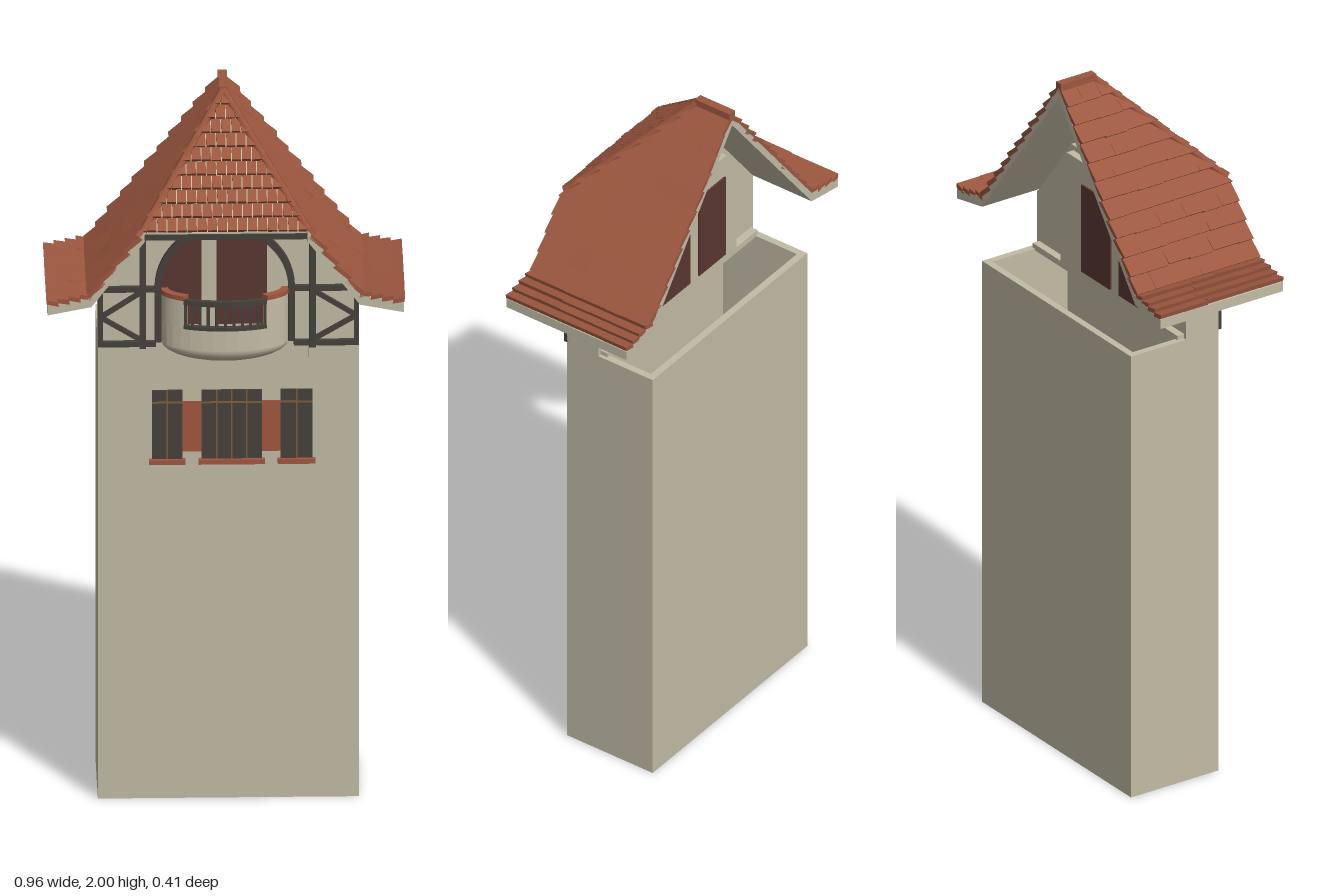
import * as THREE from 'three';
import { mergeGeometries } from 'three/addons/utils/BufferGeometryUtils.js';
import { ConvexGeometry } from 'three/addons/geometries/ConvexGeometry.js';

const paint = (name, color) => {
  const m = new THREE.MeshStandardMaterial({ color });
  m.name = name;
  return m;
};

export function createModel() {
  const plaster = paint('plaster', 0xc2bba5);
  const tile = paint('roofTile', 0x9c573f);
  const timber = paint('darkTimber', 0x45413a);
  const door = paint('maroonDoor', 0x5a3731);
  const brick = paint('brickRed', 0xa0563e);
  const glazingBar = paint('glazingBar', 0x7a5e3c);

  const model = new THREE.Group();
  model.name = 'towerHouse';
  const V = (x, y, z) => new THREE.Vector3(x, y, z);
  let seed = 7;
  const rand = () => (seed = (seed * 16807) % 2147483647) / 2147483647;

  const add = (name, geo, mat) => {
    const mesh = new THREE.Mesh(geo, mat);
    mesh.name = name;
    model.add(mesh);
    return mesh;
  };
  // Box given by its limits
  const box = (name, mat, x0, x1, y0, y1, z0, z1) =>
    add(name, new THREE.BoxGeometry(x1 - x0, y1 - y0, z1 - z0), mat)
      .position.set((x0 + x1) / 2, (y0 + y1) / 2, (z0 + z1) / 2);
  // Outline in x,y extruded from z0 to z1
  const shapeOf = pts => new THREE.Shape(pts.map(p => new THREE.Vector2(...p)));
  const upright = (name, mat, shape, z0, z1) =>
    add(name, new THREE.ExtrudeGeometry(shape, { depth: z1 - z0, bevelEnabled: false, curveSegments: 24 }), mat)
      .position.z = z0;
  // Plan outline in x,-z extruded from y0 to y1
  const plan = (name, mat, shape, y0, y1) => {
    const g = new THREE.ExtrudeGeometry(shape, { depth: y1 - y0, bevelEnabled: false });
    add(name, g.rotateX(-Math.PI / 2), mat).position.y = y0;
  };
  // Beam between two points on the facade
  const beam = (name, mat, x0, y0, x1, y1, w, z0, z1) => {
    const m = add(name, new THREE.BoxGeometry(Math.hypot(x1 - x0, y1 - y0), w, z1 - z0), mat);
    m.position.set((x0 + x1) / 2, (y0 + y1) / 2, (z0 + z1) / 2);
    m.rotation.z = Math.atan2(y1 - y0, x1 - x0);
  };

  // Hollow tower shaft
  const shaft = shapeOf([[-0.34, -0.085], [0.36, -0.085], [0.36, 0.2], [-0.34, 0.2]]);
  shaft.holes.push(new THREE.Path([[-0.32, -0.065], [-0.32, 0.18], [0.34, 0.18], [0.34, -0.065]]
    .map(p => new THREE.Vector2(...p))));
  plan('towerShaft', plaster, shaft, 0, 1.32);

  // Upper storey: arched front wall, back wall, side walls and floor
  const gable = () => shapeOf([[-0.34, 1.32], [0.36, 1.32], [0.36, 1.475], [0.2, 1.685], [-0.2, 1.685], [-0.34, 1.5]]);
  const archPath = (p, r, y0) => {
    p.moveTo(-r, y0).lineTo(r, y0).lineTo(r, 1.49);
    p.absarc(0, 1.49, r, 0, Math.PI, false);
    return p.lineTo(-r, y0);
  };
  const front = gable();
  front.holes.push(archPath(new THREE.Path(), 0.17, 1.335));
  upright('archedFrontWall', plaster, front, 0.065, 0.085);
  upright('loggiaBackWall', plaster, gable(), -0.02, -0.005);
  upright('raisedBackPanel', plaster, shapeOf([[-0.235, 1.33], [0.22, 1.33], [0.22, 1.64], [0.19, 1.67],
    [-0.19, 1.67], [-0.235, 1.62]]), -0.042, -0.02);
  box('leftSideWall', plaster, 0.34, 0.36, 1.32, 1.48, -0.02, 0.085);
  box('rightSideWall', plaster, -0.34, -0.32, 1.32, 1.5, -0.02, 0.085);
  box('loggiaFloor', plaster, -0.33, 0.35, 1.315, 1.333, -0.042, 0.075);
  for (const [x0, x1] of [[-0.18, -0.06], [-0.02, 0.115]]) {
    box('loggiaDoor', door, x0, x1, 1.345, 1.605, -0.047, 0.002);
  }

  // Timber framing
  const arch = new THREE.Shape();
  arch.moveTo(0.17, 1.335).lineTo(0.188, 1.335).lineTo(0.188, 1.49);
  arch.absarc(0, 1.49, 0.188, 0, Math.PI, false);
  arch.lineTo(-0.188, 1.335).lineTo(-0.17, 1.335).lineTo(-0.17, 1.49);
  arch.absarc(0, 1.49, 0.17, Math.PI, 0, true);
  upright('timberArch', timber, arch, 0.08, 0.1);
  for (const s of [-1, 1]) {
    const o = s > 0 ? 0.353 : -0.333, i = s > 0 ? 0.235 : -0.22;
    beam('framePost', timber, i, 1.32, i, 1.63, 0.018, 0.085, 0.11);
    beam('cornerPost', timber, o, 1.32, o, 1.495, 0.014, 0.08, 0.095);
    beam('frameRail', timber, s * 0.185, 1.487, o, 1.487, 0.015, 0.083, 0.098);
    beam('frameSill', timber, s * 0.185, 1.328, o, 1.328, 0.015, 0.083, 0.098);
    beam('upperBrace', timber, o, 1.405, i, 1.48, 0.013, 0.083, 0.094);
    beam('lowerBrace', timber, o, 1.405, i, 1.335, 0.013, 0.083, 0.094);
    box('corbel', plaster, i - 0.01, i + 0.01, 1.285, 1.322, 0.08, 0.105);
  }
  box('eaveBeam', timber, -0.218, 0.218, 1.674, 1.69, 0.185, 0.199);

  // Rounded balcony
  const strip = (name, mat, a0, a1, y0, y1, inset, outset = 0) => {
    const pts = [], n = 16;
    for (const [d, from, to] of [[outset, a0, a1], [-inset, a1, a0]]) {
      for (let k = 0; k <= n; k++) {
        const a = from + (to - from) * k / n;
        pts.push([(0.17 + d) * Math.cos(a), -0.083 - (0.082 + d) * Math.sin(a)]);
      }
    }
    plan(name, mat, shapeOf(pts), y0, y1);
  };
  const cut = 0.867;
  const bowl = new THREE.SphereGeometry(1, 32, 8, 0, Math.PI, Math.PI / 2, Math.PI / 2);
  add('balconyBowl', bowl.scale(0.17, 0.052, 0.082), plaster).position.set(0, 1.335, 0.083);
  plan('balconyFloor', plaster, new THREE.Shape().absellipse(0, -0.083, 0.165, 0.078, Math.PI, 2 * Math.PI), 1.325, 1.336);
  strip('balconyParapet', plaster, 0, Math.PI, 1.334, 1.393, 0.014);
  for (const a of [0, Math.PI - cut]) {
    strip('parapetEnd', plaster, a, a + cut, 1.393, 1.475, 0.014);
    strip('parapetCoping', brick, a, a + cut, 1.475, 1.488, 0.018, 0.004);
  }
  strip('balconyTopRail', timber, cut, Math.PI - cut, 1.463, 1.478, 0.012, 0.002);
  strip('balconyBottomRail', timber, cut, Math.PI - cut, 1.393, 1.403, 0.012, 0.002);
  for (let k = 0; k <= 10; k++) {
    const a = cut + (Math.PI - 2 * cut) * k / 10, x = 0.165 * Math.cos(a), z = 0.083 + 0.077 * Math.sin(a);
    box('baluster', timber, x - 0.004, x + 0.004, 1.4, 1.466, z - 0.004, z + 0.004);
  }

  // Lower windows with sills, glazing bars and brick panels
  for (const [x0, x1, panes] of [[-0.195, -0.113, 2], [-0.062, 0.1, 4], [0.15, 0.235, 2]]) {
    box('window', timber, x0, x1, 0.988, 1.19, 0.08, 0.089);
    box('windowSill', brick, x0 - 0.008, x1 + 0.008, 0.976, 0.99, 0.08, 0.098);
    box('transom', glazingBar, x0, x1, 1.152, 1.157, 0.088, 0.091);
    for (let k = 1; k < panes; k++) {
      const x = x0 + (x1 - x0) * k / panes;
      box('mullion', glazingBar, x - 0.002, x + 0.002, 0.99, 1.19, 0.088, 0.091);
    }
  }
  for (const [x0, x1] of [[-0.113, -0.062], [0.1, 0.15]]) box('brickPanel', brick, x0, x1, 1.01, 1.157, 0.08, 0.087);

  // Slab over a quad: first two corners are the upper edge, last two the lower edge
  const slab = (quad, n, liftTop, liftLow, thick) => new ConvexGeometry(quad.flatMap((p, k) => {
    const lift = k < 2 ? liftTop : liftLow;
    return [p.clone().addScaledVector(n, lift), p.clone().addScaledVector(n, lift - thick)];
  }));
  const UP = V(0, 1, 0);
  const hipEnd = x => Math.min(0.2, -0.09 + 0.29 * x / 0.22);

  // Side slopes: steep part and flared eave, tiled in overlapping courses
  for (const s of [-1, 1]) {
    const tiles = [], soffit = [];
    for (const [x0, y0, x1, y1, rows] of [[0, 1.985, 0.36, 1.51, 11], [0.36, 1.51, 0.478, 1.487, 4]]) {
      const n = V(s * (y0 - y1), x1 - x0, 0).normalize();
      const at = (t, z) => V(s * (x0 + (x1 - x0) * t), y0 + (y1 - y0) * t, z);
      const xs = t => x0 + (x1 - x0) * t;
      const cuts = x0 === 0 ? [0, 0.22 / 0.36, 1] : [0, 1];
      for (let k = 0; k + 1 < cuts.length; k++) {
        const [a, b] = [cuts[k], cuts[k + 1]];
        soffit.push(slab([at(a, -0.2), at(a, hipEnd(xs(a))), at(b, -0.2), at(b, hipEnd(xs(b)))], UP, 0, 0, 0.028));
      }
      for (let r = 0; r < rows; r++) {
        const a = r / rows, b = (r + 1) / rows, za = hipEnd(xs(a)), zb = hipEnd(xs(b));
        for (let z = -0.2; z < zb - 0.003;) {
          const next = zb - z < 0.1 ? zb : z + 0.05 + 0.04 * rand();
          const c = Math.min(1, b + 0.006 * rand());
          tiles.push(slab([at(a, Math.min(z, za)), at(a, next === zb ? za : Math.min(next, za)), at(c, z), at(c, next)],
            n, 0.004, 0.014 + 0.003 * rand(), 0.013));
          z = next;
        }
      }
    }
    const side = s > 0 ? 'left' : 'right';
    add(side + 'RoofTiles', mergeGeometries(tiles), tile);
    add(side + 'RoofSoffit', mergeGeometries(soffit), plaster);
    const hip = new THREE.LineCurve3(V(0, 1.988, -0.09), V(s * 0.222, 1.698, 0.194));
    add(side + 'HipRidge', new THREE.TubeGeometry(hip, 1, 0.011, 6), tile);
  }
  box('ridgeCap', tile, -0.012, 0.012, 1.975, 2, -0.2, -0.085);

  // Front hip with small staggered tiles
  const hipTiles = [], rows = 10, hn = V(0, 0.29, 0.29).normalize();
  const onHip = (t, x) => V(THREE.MathUtils.clamp(x, -0.22 * t, 0.22 * t), 1.985 - 0.29 * t, -0.09 + 0.285 * t);
  for (let r = 0; r < rows; r++) {
    const a = r / rows, b = (r + 1) / rows, half = 0.22 * b;
    for (let x = -0.25 + (r % 2) * 0.013; x < half; x += 0.027) {
      const l = Math.max(x, -half), e = Math.min(x + 0.0245, half);
      if (e - l < 0.004) continue;
      hipTiles.push(slab([onHip(a, l), onHip(a, e), onHip(b, l), onHip(b, e)], hn, 0.003, 0.012 + 0.005 * rand(), 0.013));
    }
  }
  add('hipTiles', mergeGeometries(hipTiles), tile);
  add('hipSoffit', slab([V(-0.001, 1.985, -0.09), V(0.001, 1.985, -0.09), V(-0.22, 1.695, 0.195), V(0.22, 1.695, 0.195)],
    UP, 0, 0, 0.02), plaster);

  return model;
}
